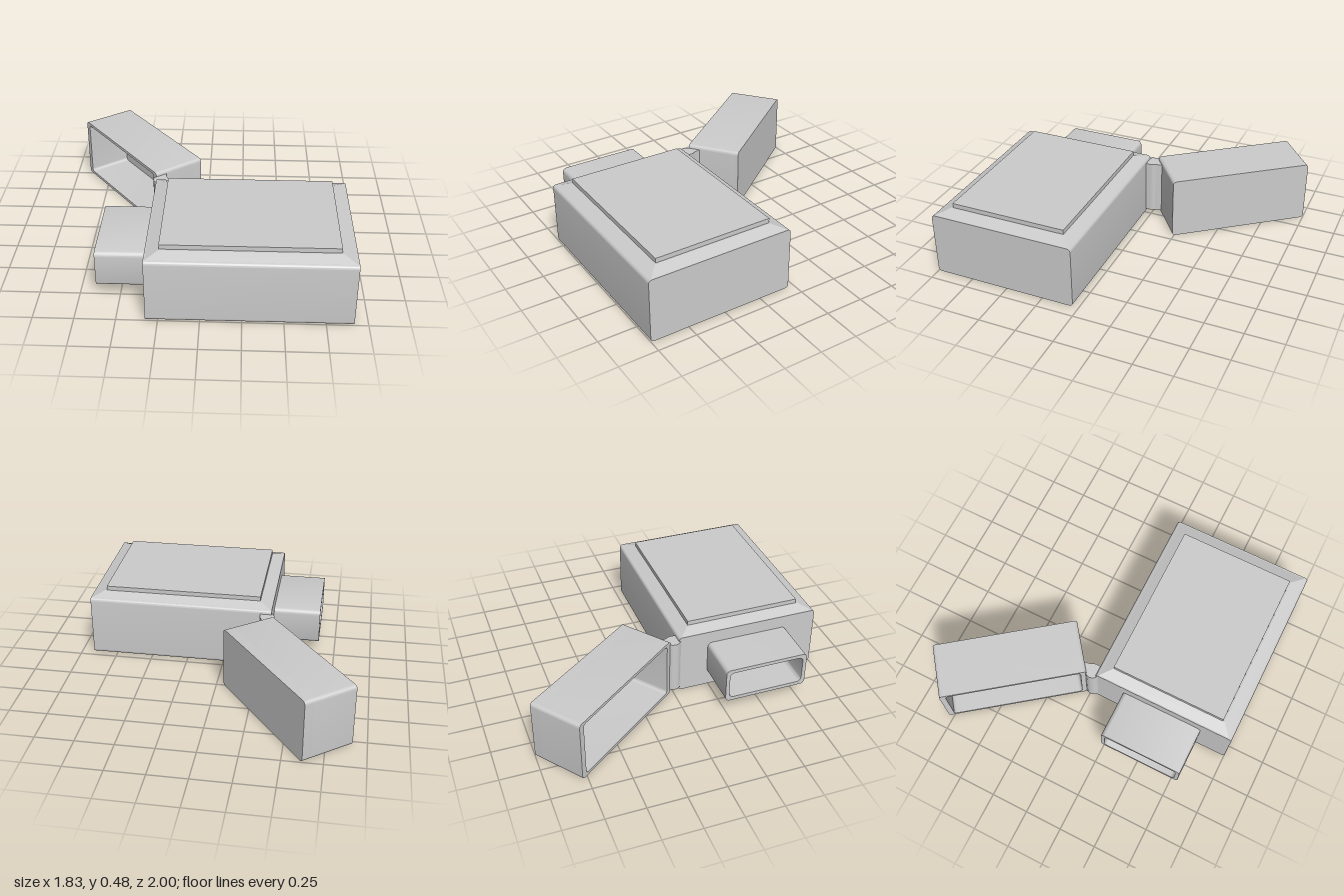
import * as THREE from 'three';
import { toCreasedNormals } from 'three/addons/utils/BufferGeometryUtils.js';

const material = new THREE.MeshStandardMaterial({ color: 0xcccccc });

// Rounded rectangle with its lower left corner at (x, y)
function roundedRect(path, x, y, w, h, r) {
  path.moveTo(x + r, y);
  path.lineTo(x + w - r, y);
  path.absarc(x + w - r, y + r, r, -Math.PI / 2, 0);
  path.lineTo(x + w, y + h - r);
  path.absarc(x + w - r, y + h - r, r, 0, Math.PI / 2);
  path.lineTo(x + r, y + h);
  path.absarc(x + r, y + h - r, r, Math.PI / 2, Math.PI);
  path.lineTo(x, y + r);
  path.absarc(x + r, y + r, r, Math.PI, Math.PI * 1.5);
  return path;
}

function extrude(shape, depth) {
  const geometry = new THREE.ExtrudeGeometry(shape, { depth, bevelEnabled: false, curveSegments: 5 });
  return toCreasedNormals(geometry, 0.6);
}

// Rounded bar along z; a wall [x, y] thickness turns it into a sleeve
function bar(w, h, r, depth, wall) {
  const shape = roundedRect(new THREE.Shape(), 0, 0, w, h, r);
  if (wall) {
    const [a, b] = wall;
    shape.holes.push(roundedRect(new THREE.Path(), a, b, w - 2 * a, h - 2 * b, r));
  }
  return extrude(shape, depth);
}

function add(parent, name, geometry, x = 0, y = 0, z = 0) {
  const mesh = new THREE.Mesh(geometry, material);
  mesh.name = name;
  mesh.position.set(x, y, z);
  parent.add(mesh);
  return mesh;
}

// Box whose top face is smaller than its bottom face
function taperedBox(w, h, d, topW, topD) {
  const geometry = new THREE.BoxGeometry(w, h, d);
  const p = geometry.attributes.position;
  for (let i = 0; i < p.count; i++) {
    if (p.getY(i) > 0) {
      p.setX(i, p.getX(i) * topW / w);
      p.setZ(i, p.getZ(i) * topD / d);
    }
  }
  geometry.computeVertexNormals();
  return geometry;
}

export function createModel() {
  const model = new THREE.Group();
  model.name = 'usbStick';

  // Main case with sloped shoulder and raised panel
  add(model, 'body', bar(0.96, 0.42, 0.022, 1.24), -0.325, 0, 1).rotation.y = Math.PI / 2;
  add(model, 'topShoulder', taperedBox(1.24, 0.029, 0.932, 1.07, 0.78), 0.295, 0.4315, 0.52);
  add(model, 'topPanel', new THREE.BoxGeometry(1.06, 0.035, 0.77), 0.29, 0.4585, 0.515);

  // Hollow plug
  add(model, 'plug', bar(0.555, 0.24, 0.03, 0.33, [0.025, 0.025]), -0.64, 0.095, 0.795)
    .rotation.y = Math.PI / 2;

  // Cap swung open on its hinge, open side along local +z
  const cap = new THREE.Group();
  cap.name = 'cap';
  cap.position.set(-0.625, 0, -1);
  cap.rotation.y = -0.92;
  add(cap, 'capFloor', bar(0.956, 0.42, 0.022, 0.06));
  add(cap, 'capWalls', bar(0.956, 0.42, 0.022, 0.3, [0.038, 0.02]), 0, 0, 0.06);
  model.add(cap);

  // Hinge barrel
  const barrel = new THREE.CylinderGeometry(0.05, 0.05, 0.365, 16);
  add(model, 'hingeBarrel', barrel, -0.3, 0.2125, 0.008);

  // Hinge leaves reaching to cap and body: plan points are (x, -z)
  const leaves = {
    capLeaf: [[-0.345, -0.01], [-0.26, 0.01], [-0.272, 0.075], [-0.335, 0.028]],
    bodyLeaf: [[-0.325, -0.055], [-0.25, -0.055], [-0.25, -0.01], [-0.345, -0.015]],
  };
  for (const [name, points] of Object.entries(leaves)) {
    const shape = new THREE.Shape(points.map(([x, y]) => new THREE.Vector2(x, y)));
    add(model, name, extrude(shape, 0.365), 0, 0.03, 0).rotation.x = -Math.PI / 2;
  }

  return model;
}
